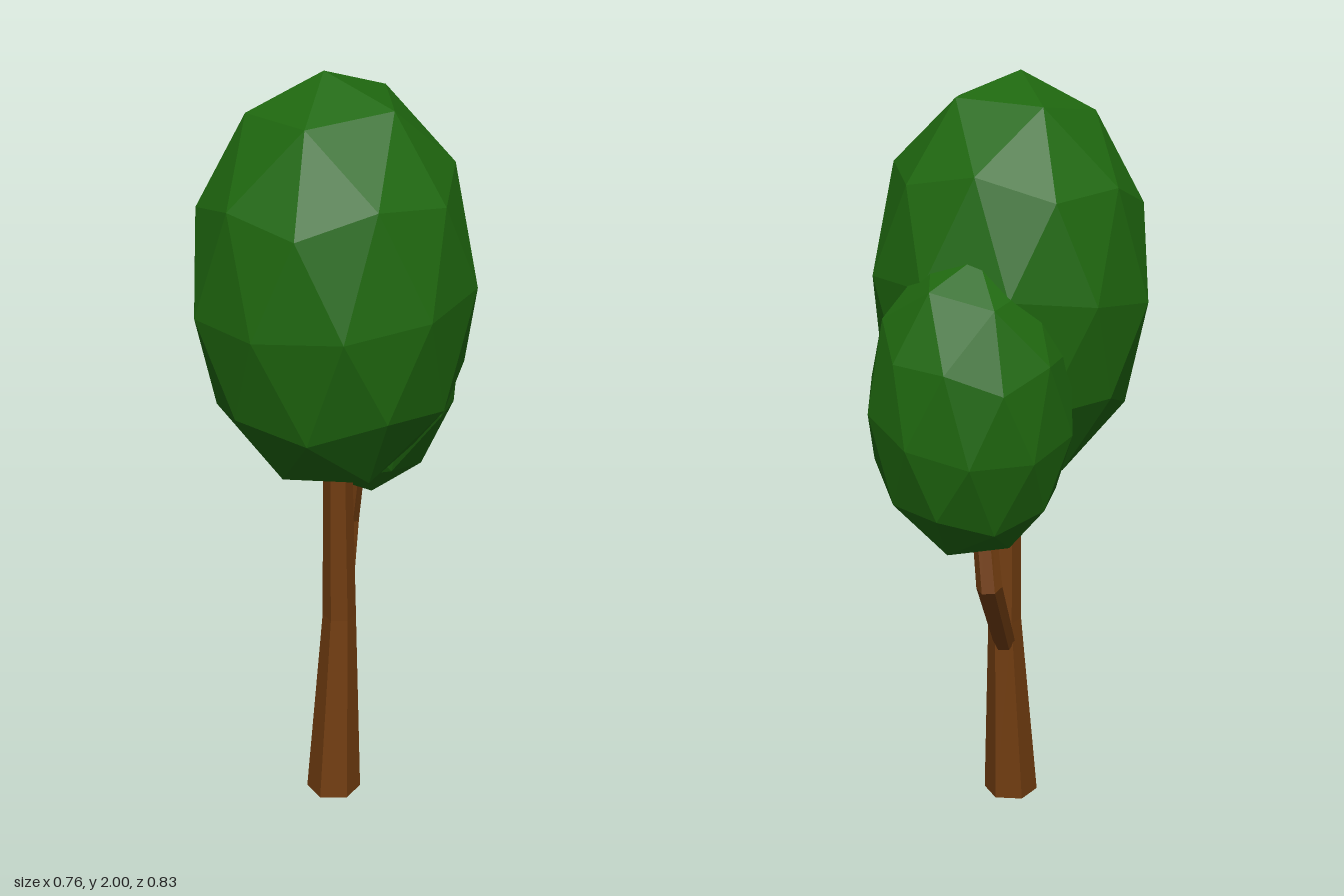
import * as THREE from 'three';

const leaf = new THREE.MeshStandardMaterial({ color: 0x1f680f, flatShading: true });
const bark = new THREE.MeshStandardMaterial({ color: 0x703c10, flatShading: true });
const UP = new THREE.Vector3(0, 1, 0);

// Six-sided limb lofted through rings { at, r, dir }, each square to its direction
function limb(name, rings, turn) {
  const sides = 6, pos = [], index = [];
  for (const { at, r, dir } of rings) {
    const q = new THREE.Quaternion().setFromUnitVectors(UP, new THREE.Vector3(...dir).normalize());
    for (let j = 0; j < sides; j++) {
      const a = turn + (j / sides) * Math.PI * 2;
      const p = new THREE.Vector3(Math.cos(a) * r, 0, Math.sin(a) * r).applyQuaternion(q);
      pos.push(p.x + at[0], p.y + at[1], p.z + at[2]);
    }
  }
  for (let i = 0; i < rings.length - 1; i++) {
    for (let j = 0; j < sides; j++) {
      const a = i * sides + j, b = i * sides + ((j + 1) % sides);
      index.push(a, a + sides, b, b, a + sides, b + sides);
    }
  }
  // End caps
  const top = (rings.length - 1) * sides;
  for (let j = 1; j < sides - 1; j++) {
    index.push(0, j, j + 1, top, top + j + 1, top + j);
  }
  const indexed = new THREE.BufferGeometry();
  indexed.setAttribute('position', new THREE.Float32BufferAttribute(pos, 3));
  indexed.setIndex(index);
  const geo = indexed.toNonIndexed();
  geo.computeVertexNormals();
  const mesh = new THREE.Mesh(geo, bark);
  mesh.name = name;
  return mesh;
}

// Faceted crown: a subdivided icosahedron with a corner on top, leaned, then stretched
function crown(name, center, radii, spin, leanX, leanZ) {
  const geo = new THREE.IcosahedronGeometry(1, 1);
  geo.rotateX(-Math.atan((1 + Math.sqrt(5)) / 2));
  geo.rotateY(spin);
  geo.rotateX(leanX);
  geo.rotateZ(leanZ);
  geo.scale(...radii);
  geo.translate(...center);
  geo.computeVertexNormals();
  const mesh = new THREE.Mesh(geo, leaf);
  mesh.name = name;
  return mesh;
}

export function createModel() {
  const tree = new THREE.Group();
  tree.name = 'tree';
  const deg = Math.PI / 180;

  // Trunk, flared at the foot
  tree.add(limb('trunk', [
    { at: [-0.02, 0, 0.063], r: 0.074, dir: [0, 1, 0] },
    { at: [-0.001, 0.53, 0.051], r: 0.045, dir: [0, 1, 0] },
    { at: [-0.01, 1.2, 0.058], r: 0.035, dir: [0, 1, 0] },
  ], 15 * deg));

  // Side branch with an elbow
  tree.add(limb('branch', [
    { at: [0.005, 0.47, 0.025], r: 0.03, dir: [0.07, 0.24, -0.18] },
    { at: [0.075, 0.71, -0.157], r: 0.034, dir: [0.15, 0.95, -0.2] },
    { at: [0.09, 1.0, -0.1], r: 0.03, dir: [0.03, 0.3, 0.06] },
  ], 15 * deg));

  tree.add(crown('mainCrown', [-0.02, 1.46, 0.06], [0.365, 0.54, 0.365], -29 * deg, 0.05, 0.075));
  tree.add(crown('sideCrown', [0.12, 1.205, -0.16], [0.265, 0.4, 0.262], -27 * deg, -0.23, 0.04));
  return tree;
}
